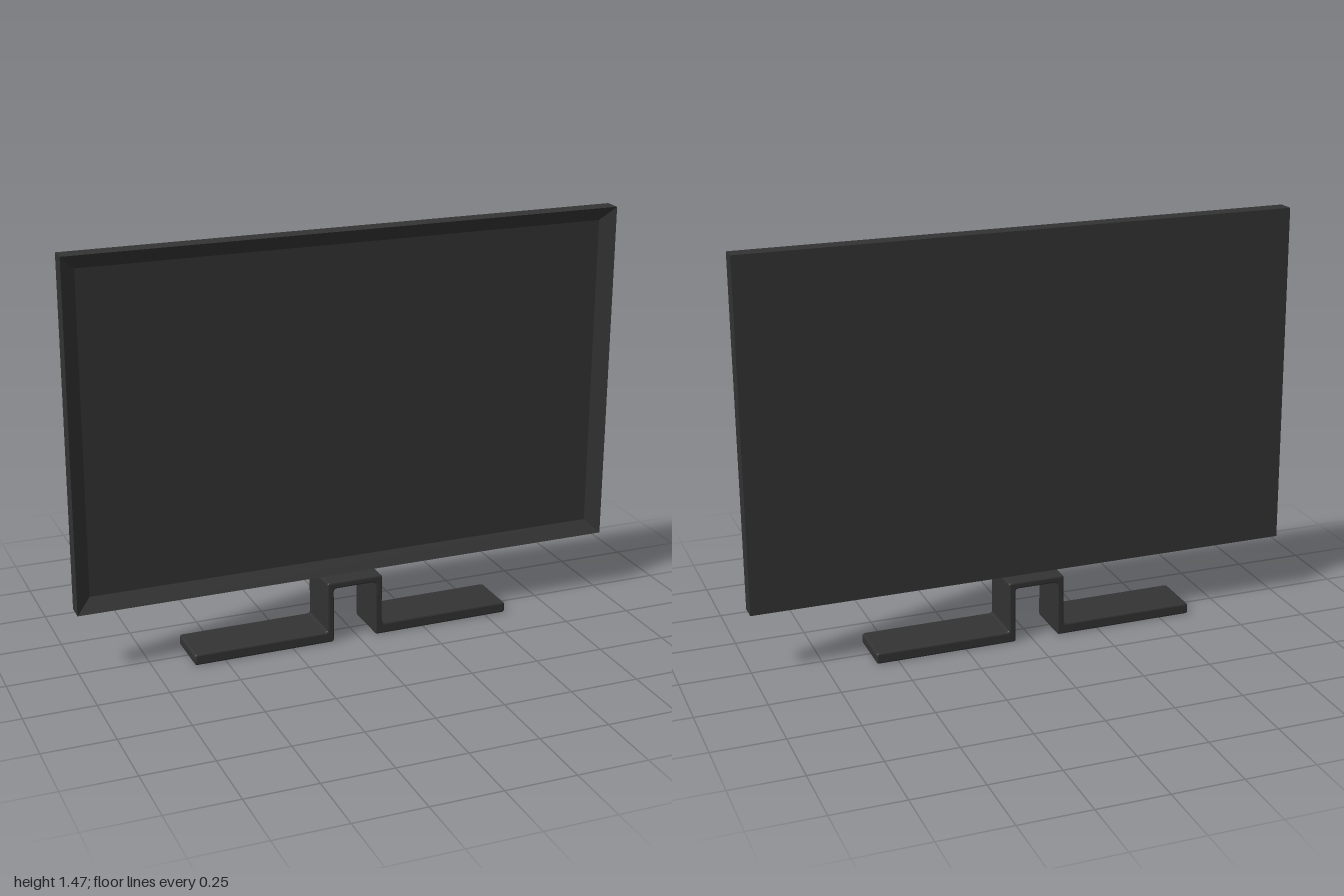
import * as THREE from 'three';

const material = new THREE.MeshStandardMaterial({ color: 0x333333 });

// Corners of a rectangle, counter-clockwise seen from +z
function rect(halfW, halfH, z) {
  return [[-halfW, -halfH, z], [halfW, -halfH, z], [halfW, halfH, z], [-halfW, halfH, z]];
}

// Flat-shaded mesh from quads given as four corners each
function quadMesh(name, quads) {
  const pos = quads.flatMap(([a, b, c, d]) => [a, b, c, a, c, d].flat());
  const geo = new THREE.BufferGeometry();
  geo.setAttribute('position', new THREE.Float32BufferAttribute(pos, 3));
  geo.computeVertexNormals();
  const mesh = new THREE.Mesh(geo, material);
  mesh.name = name;
  return mesh;
}

// Four quads joining one rectangle to the next
function band(a, b) {
  return a.map((p, i) => {
    const j = (i + 1) % 4;
    return [p, a[j], b[j], b[i]];
  });
}

// Display: casing, sloped bezel and recessed screen, leaning slightly forward
function createDisplay() {
  const W = 1, H = 0.622, D = 0.0315;
  const back = rect(W, H, -D), front = rect(W, H, D), inner = rect(W - 0.052, H - 0.05, 0);
  const display = new THREE.Group();
  display.name = 'display';
  display.add(
    quadMesh('casing', [...band(back, front), [...back].reverse()]),
    quadMesh('bezel', band(front, inner)),
    quadMesh('screen', [inner])
  );
  display.position.set(0, 0.85, 0.005);
  display.rotation.x = 0.012;
  return display;
}

// Stand: one bent strip, from foot up over the bridge and down to the other foot
function createStand() {
  const b = 0.006, depth = 0.185;
  const outline = [
    [-0.612, 0], [-0.095, 0], [-0.095, 0.203], [0.063, 0.203], [0.063, 0], [0.578, 0],
    [0.578, 0.04], [0.089, 0.04], [0.089, 0.228], [-0.12, 0.228], [-0.12, 0.04], [-0.612, 0.04],
  ].map(([x, y]) => new THREE.Vector2(x, y));

  // Round every corner of the outline
  const shape = new THREE.Shape();
  outline.forEach((p, i) => {
    const n = outline.length;
    const toward = (q) => p.clone().add(q.clone().sub(p).setLength(0.01));
    const start = toward(outline[(i + n - 1) % n]);
    const end = toward(outline[(i + 1) % n]);
    if (i === 0) shape.moveTo(start.x, start.y);
    else shape.lineTo(start.x, start.y);
    shape.quadraticCurveTo(p.x, p.y, end.x, end.y);
  });
  shape.closePath();

  const geo = new THREE.ExtrudeGeometry(shape, {
    depth: depth - 2 * b, curveSegments: 3,
    bevelThickness: b, bevelSize: b, bevelOffset: -b, bevelSegments: 2,
  });
  geo.translate(0, 0, -depth / 2 + b);
  const stand = new THREE.Mesh(geo, material);
  stand.name = 'stand';
  return stand;
}

export function createModel() {
  const model = new THREE.Group();
  model.name = 'monitor';
  model.add(createDisplay(), createStand());
  return model;
}
